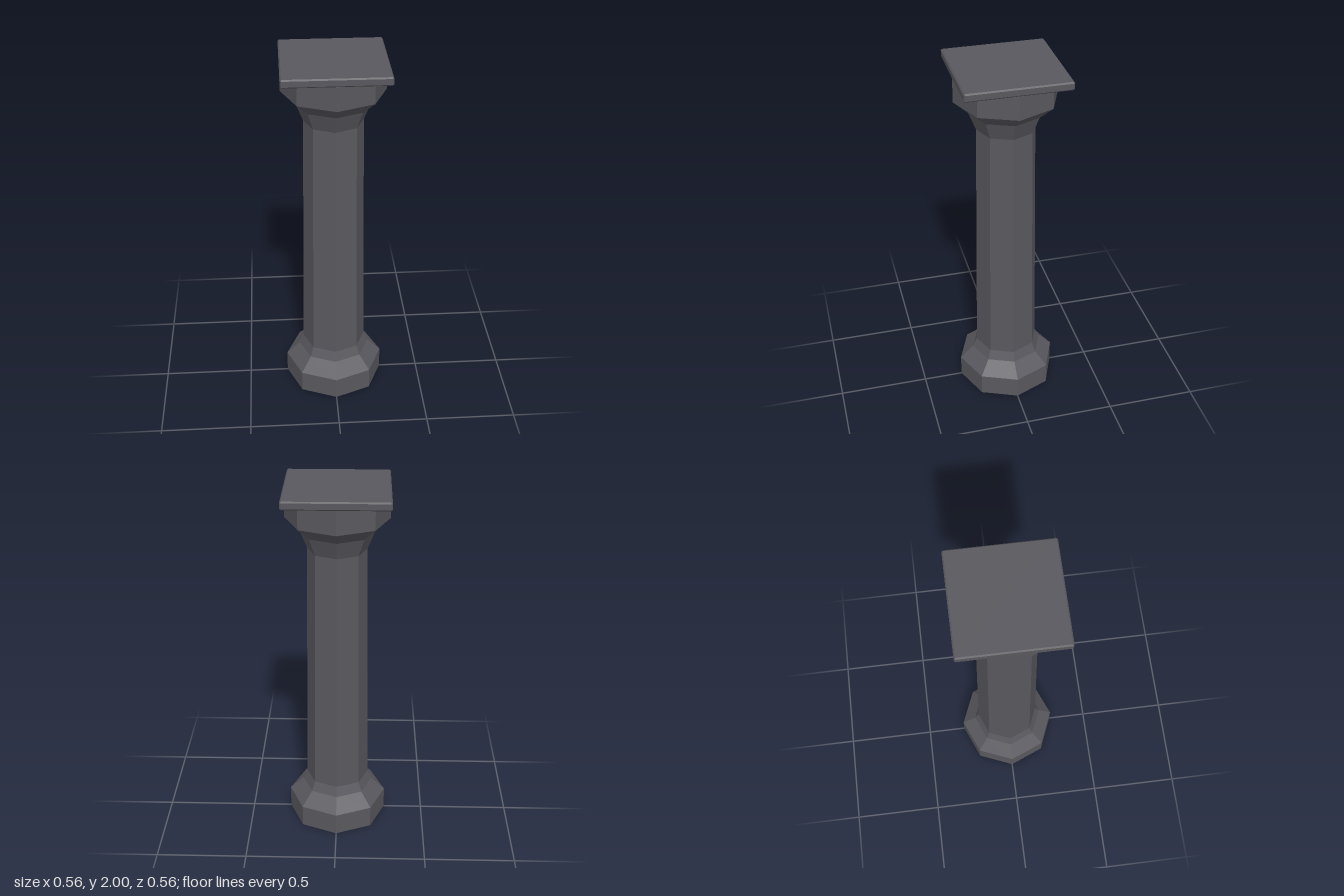
import * as THREE from 'three';
import { ConvexGeometry } from 'three/addons/geometries/ConvexGeometry.js';

// Box with every edge cut by a small chamfer
function chamferedBox(hx, hy, hz, c) {
  const points = [];
  for (const x of [-1, 1]) for (const y of [-1, 1]) for (const z of [-1, 1]) {
    points.push(
      new THREE.Vector3(x * hx, y * (hy - c), z * (hz - c)),
      new THREE.Vector3(x * (hx - c), y * hy, z * (hz - c)),
      new THREE.Vector3(x * (hx - c), y * (hy - c), z * hz)
    );
  }
  return new ConvexGeometry(points);
}

export function createModel() {
  const group = new THREE.Group();
  group.name = 'column';
  const stone = new THREE.MeshStandardMaterial({ color: 0x58585e, flatShading: true });
  stone.name = 'dark stone';

  // Octagonal body: base, tapered shaft and flared capital, as [radius, height]
  const profile = [
    [0, 0], [0.278, 0], [0.278, 0.125], [0.202, 0.2], [0.178, 0.255],
    [0.16, 1.655], [0.2, 1.755], [0.278, 1.825], [0.278, 1.955], [0, 1.955],
  ].map(([r, y]) => new THREE.Vector2(r, y));
  const body = new THREE.Mesh(new THREE.LatheGeometry(profile, 8), stone);
  body.name = 'octagonalBody';
  group.add(body);

  // Square slab on top
  const slab = new THREE.Mesh(chamferedBox(0.279, 0.0225, 0.279, 0.007), stone);
  slab.name = 'topSlab';
  slab.position.y = 1.9775;
  group.add(slab);

  return group;
}
